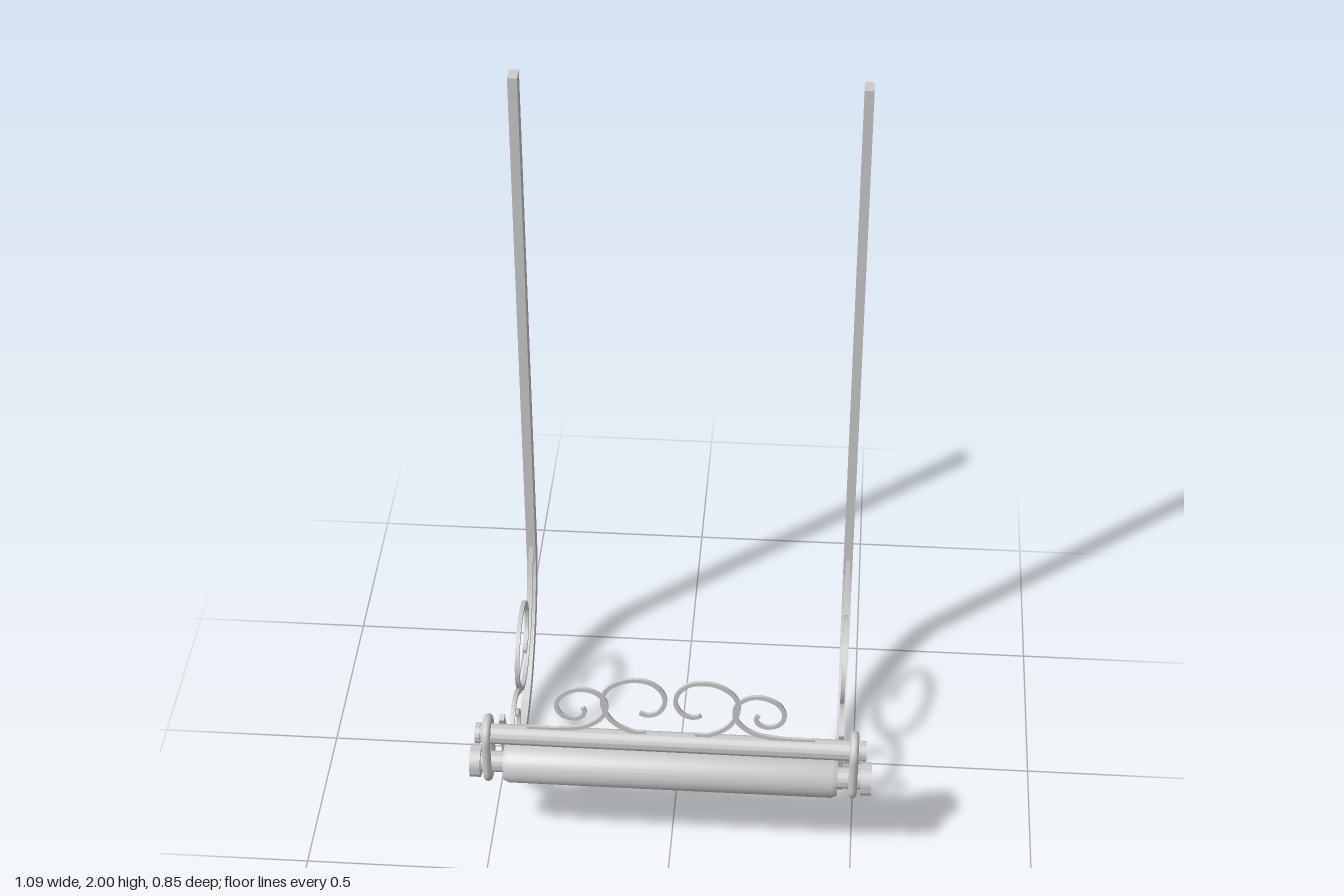
import * as THREE from 'three';
import { toCreasedNormals } from 'three/addons/utils/BufferGeometryUtils.js';

const smooth = new THREE.MeshStandardMaterial({ color: 0xcccccc });
const faceted = new THREE.MeshStandardMaterial({ color: 0xcccccc, flatShading: true });

function add(parent, name, geometry, material = smooth) {
  const mesh = new THREE.Mesh(geometry, material);
  mesh.name = name;
  parent.add(mesh);
  return mesh;
}

// Sweeps a rectangular section along points in the xy plane;
// size(t) gives [thickness in the plane, depth along z].
function sweep(points, size) {
  const n = points.length, pos = [], index = [];
  points.forEach((p, i) => {
    const a = points[Math.max(i - 1, 0)], b = points[Math.min(i + 1, n - 1)];
    const dir = new THREE.Vector2().subVectors(b, a).normalize();
    const [w, d] = size(i / (n - 1));
    for (const [s, z] of [[1, 1], [-1, 1], [-1, -1], [1, -1]]) {
      pos.push(p.x - dir.y * s * w / 2, p.y + dir.x * s * w / 2, z * d / 2);
    }
  });
  for (let i = 0; i < n - 1; i++) {
    for (let k = 0; k < 4; k++) {
      const a = i * 4 + k, b = i * 4 + (k + 1) % 4;
      index.push(a, b, a + 4, b, b + 4, a + 4);
    }
  }
  const e = (n - 1) * 4;
  index.push(0, 2, 1, 0, 3, 2, e, e + 1, e + 2, e, e + 2, e + 3);
  const g = new THREE.BufferGeometry();
  g.setAttribute('position', new THREE.Float32BufferAttribute(pos, 3));
  g.setIndex(index);
  // keep faces outward
  g.computeVertexNormals();
  return toCreasedNormals(g, 0.6);
}

const spline = (pts, divisions) =>
  new THREE.SplineCurve(pts.map(([x, y]) => new THREE.Vector2(x, y))).getSpacedPoints(divisions);

// Turned part along the x axis from [x, radius] pairs
function turned(half) {
  const profile = [...half.map(([x, r]) => [-x, r]).reverse(), ...half];
  const g = new THREE.LatheGeometry(profile.map(([x, r]) => new THREE.Vector2(r, x)), 32);
  g.rotateZ(-Math.PI / 2);
  return toCreasedNormals(g, 0.6);
}

const ROD_Z = 0.372, ROLLER_Y = 0.296, RAIL_Y = 0.398;

// Bar: straight post, then a tapering hook (points are [z, y])
const hook = [[-0.403, 0.44], [-0.397, 0.35], [-0.345, 0.235], [-0.27, 0.14], [-0.17, 0.062],
  [-0.03, 0.024], [0.106, 0.05], [0.21, 0.12], [0.278, 0.215], [0.312, 0.31], [0.322, 0.38], [0.342, 0.432]];

// Scrollwork inside the hook ([z, y])
const largeScroll = [[-0.388, 0.44], [-0.34, 0.325], [-0.275, 0.23], [-0.19, 0.172], [-0.116, 0.158],
  [-0.048, 0.187], [0, 0.246], [0.012, 0.31], [-0.02, 0.367], [-0.085, 0.403], [-0.15, 0.403],
  [-0.206, 0.375], [-0.235, 0.325], [-0.225, 0.273], [-0.195, 0.243], [-0.153, 0.236]];
const smallScroll = [[-0.02, 0.205], [0.015, 0.232], [0.05, 0.252], [0.105, 0.26], [0.16, 0.233],
  [0.189, 0.187], [0.179, 0.127], [0.135, 0.09], [0.075, 0.083], [0.03, 0.118], [0.026, 0.165],
  [0.06, 0.195]];

// Scrollwork on the top rail, one half ([x, y])
const outerScroll = [[0.39, 0.428], [0.31, 0.428], [0.23, 0.442], [0.182, 0.482], [0.174, 0.532],
  [0.204, 0.567], [0.247, 0.574], [0.29, 0.552], [0.307, 0.513], [0.293, 0.48], [0.257, 0.469],
  [0.231, 0.487], [0.236, 0.51]];
const innerScroll = [[0.05, 0.43], [0.09, 0.432], [0.142, 0.466], [0.167, 0.526], [0.153, 0.578],
  [0.105, 0.611], [0.047, 0.612], [0.01, 0.584], [-0.002, 0.542], [0.015, 0.505], [0.045, 0.492], [0.066, 0.5]]
  .map(([x, y]) => [x + 0.016, y]);

// Closed oblong path in the zy plane for the links
function oblongLink() {
  const pts = [], r = 0.043;
  for (let i = 0; i <= 24; i++) {
    const a = i / 24 * Math.PI;
    pts.push(new THREE.Vector3(0, RAIL_Y + r * Math.sin(a), r * Math.cos(a)));
  }
  for (let i = 0; i <= 24; i++) {
    const a = Math.PI + i / 24 * Math.PI;
    pts.push(new THREE.Vector3(0, ROLLER_Y + r * Math.sin(a), r * Math.cos(a)));
  }
  const path = new THREE.CatmullRomCurve3(pts, true, 'centripetal');
  return new THREE.TubeGeometry(path, 64, 0.012, 12, true);
}

export function createModel() {
  const model = new THREE.Group();
  model.name = 'rollHolder';

  // Roller on its axle, with end knobs
  const roller = add(model, 'roller', turned([[0.44, 0.056], [0.455, 0.049], [0.455, 0.029],
    [0.518, 0.029], [0.518, 0.045], [0.547, 0.045], [0.547, 0]]));
  roller.position.set(0, ROLLER_Y, ROD_Z);

  // Upper rail
  const rail = add(model, 'topRail', turned([[0.512, 0.028], [0.512, 0.025], [0.517, 0.025],
    [0.517, 0.028], [0.53, 0.028], [0.53, 0]]));
  rail.position.set(0, RAIL_Y, ROD_Z);

  const barPoints = [new THREE.Vector2(-0.403, 2), ...spline(hook, 22)];
  const barSize = t => {
    const k = Math.max(0, (t - 0.25) / 0.75);
    return [0.045 - 0.025 * k * k, 0.026 - 0.012 * k];
  };
  const wire = () => [0.014, 0.012];

  for (const side of [-1, 1]) {
    const name = side > 0 ? 'left' : 'right';

    // Side hanger: hooked bar with two scrolls
    const hanger = new THREE.Group();
    hanger.name = name + 'Hanger';
    hanger.rotation.y = -Math.PI / 2;
    hanger.position.x = side * 0.461;
    add(hanger, 'hookedBar', sweep(barPoints, barSize), faceted);
    add(hanger, 'largeScroll', sweep(spline(largeScroll, 48), wire));
    add(hanger, 'smallScroll', sweep(spline(smallScroll, 36), wire));
    model.add(hanger);

    // Link joining roller and rail
    add(model, name + 'Link', oblongLink()).position.set(side * 0.497, 0, ROD_Z);

    // Crest scrolls on the rail
    const flat = () => [0.012, 0.008];
    for (const [part, pts] of [['OuterCrest', outerScroll], ['InnerCrest', innerScroll]]) {
      const path = spline(pts.map(([x, y]) => [x * side, y]), 40);
      add(model, name + part, sweep(path, flat)).position.z = ROD_Z;
    }
  }
  return model;
}
